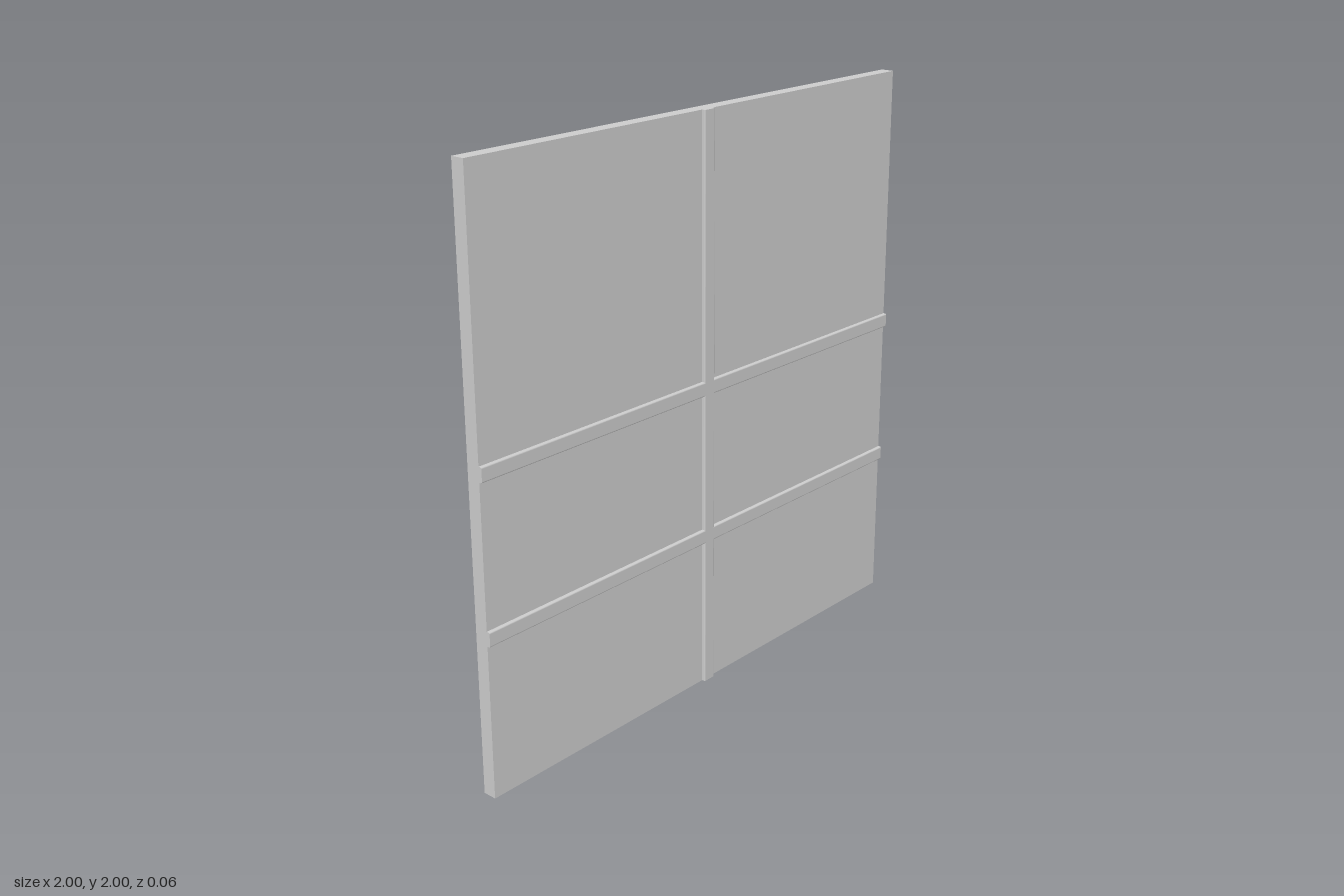
import * as THREE from 'three';

const SIZE = 2, BACK = -0.03, FACE = 0.018, FRONT = 0.03;
const RIB = 0.05, ROUND = 0.005;

// Rib cross-section: flat front with small rounded edges, sunk slightly into the panel
function ribGeometry() {
  const h = RIB / 2, base = FACE - 0.005;
  const s = new THREE.Shape();
  s.moveTo(-h, base);
  s.lineTo(h, base);
  s.lineTo(h, FRONT - ROUND);
  s.absarc(h - ROUND, FRONT - ROUND, ROUND, 0, Math.PI / 2, false);
  s.lineTo(-h + ROUND, FRONT);
  s.absarc(-h + ROUND, FRONT - ROUND, ROUND, Math.PI / 2, Math.PI, false);
  s.closePath();
  const g = new THREE.ExtrudeGeometry(s, { depth: SIZE, bevelEnabled: false, curveSegments: 4 });
  g.translate(0, 0, -SIZE / 2);
  g.rotateX(Math.PI / 2); // length now runs along y, profile front faces +z
  return g;
}

export function createModel() {
  const group = new THREE.Group();
  group.name = 'ribbedPanel';
  const material = new THREE.MeshStandardMaterial({ color: 0xcccccc });
  const add = (name, geometry, y, z = 0) => {
    const mesh = new THREE.Mesh(geometry, material);
    mesh.name = name;
    mesh.position.set(0, y, z);
    group.add(mesh);
    return mesh;
  };

  // Flat backing slab
  add('panel', new THREE.BoxGeometry(SIZE, SIZE, FACE - BACK), SIZE / 2, (FACE + BACK) / 2);

  // One upright rib and two crossing ribs on the front face
  const rib = ribGeometry();
  add('verticalRib', rib, SIZE / 2);
  [['lowerRib', 0.553], ['upperRib', 1.083]].forEach(([name, y]) => {
    add(name, rib, y).rotation.z = Math.PI / 2;
  });

  return group;
}
